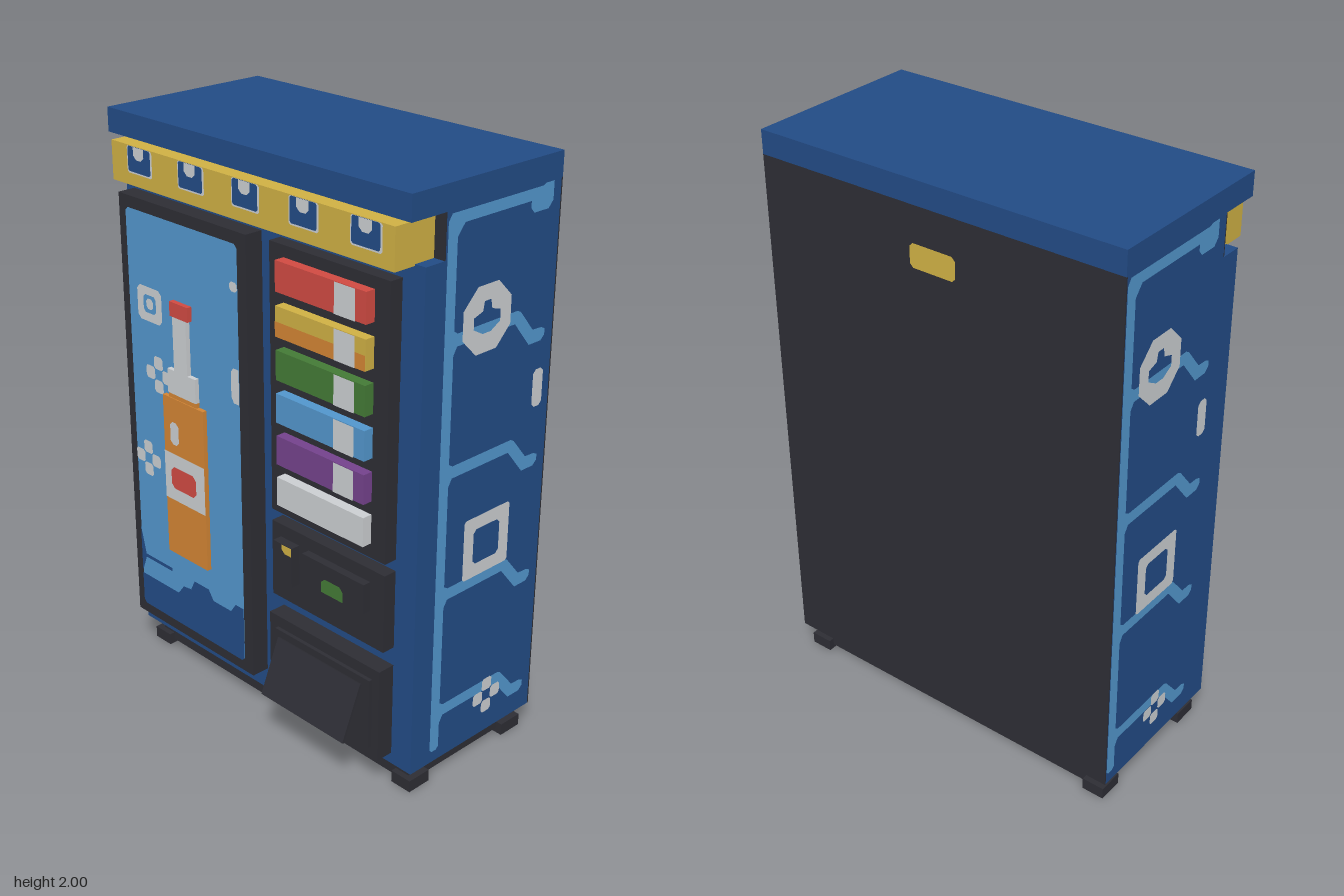
import * as THREE from 'three';

const mat = (name, color) => {
  const m = new THREE.MeshStandardMaterial({ color });
  m.name = name;
  return m;
};

export function createModel() {
  const blue = mat('cabinet blue', 0x224b85), sky = mat('light blue', 0x5296cc);
  const gold = mat('gold', 0xcfb044), white = mat('off white', 0xcbced1);
  const red = mat('red', 0xd04a42), orange = mat('orange', 0xd28434);
  const green = mat('green', 0x447a36), purple = mat('purple', 0x74428c);
  const dark = mat('charcoal', 0x2d2d34);

  const model = new THREE.Group();
  model.name = 'vendingMachine';

  // Box given by its limits on each axis
  const box = (name, m, x0, x1, y0, y1, z0, z1, parent = model) => {
    const mesh = new THREE.Mesh(new THREE.BoxGeometry(x1 - x0, y1 - y0, z1 - z0), m);
    mesh.position.set((x0 + x1) / 2, (y0 + y1) / 2, (z0 + z1) / 2);
    mesh.name = name;
    parent.add(mesh);
    return mesh;
  };
  const pts = (list) => list.map(([x, y]) => new THREE.Vector2(x, y));
  // Flat painted shape facing +z, with optional holes
  const decal = (name, m, z, outline, holes = [], parent = model) => {
    const shape = new THREE.Shape(pts(outline));
    holes.forEach((h) => shape.holes.push(new THREE.Path(pts(h))));
    const mesh = new THREE.Mesh(new THREE.ShapeGeometry(shape), m);
    mesh.position.z = z;
    mesh.name = name;
    parent.add(mesh);
    return mesh;
  };
  // Rectangle outline with corners cut by c
  const rect = (x0, x1, y0, y1, c = 0) => c
    ? [[x0 + c, y0], [x1 - c, y0], [x1, y0 + c], [x1, y1 - c], [x1 - c, y1], [x0 + c, y1], [x0, y1 - c], [x0, y0 + c]]
    : [[x0, y0], [x1, y0], [x1, y1], [x0, y1]];
  // Four petals around an open middle
  const flower = (m, x, y, z, parent = model) => {
    for (const [dx, dy] of [[1, 0], [-1, 0], [0, 1], [0, -1]]) {
      const cx = x + dx * 0.042, cy = y + dy * 0.042;
      decal('flowerPetal', m, z, rect(cx - 0.023, cx + 0.023, cy - 0.023, cy + 0.023, 0.008), [], parent);
    }
  };

  // Cabinet, front section and roof
  box('cabinet', blue, -0.665, 0.665, 0.09, 1.92, -0.365, 0.13);
  box('cabinetFront', blue, -0.665, 0.665, 0.09, 1.78, 0.13, 0.21);
  box('roof', blue, -0.665, 0.665, 1.92, 2, -0.37, 0.272);
  box('backPanel', dark, -0.665, 0.665, 0.09, 1.92, -0.37, -0.365);
  box('signRecess', dark, -0.665, 0.665, 1.78, 1.92, 0.13, 0.134);
  const badge = decal('backBadge', gold, -0.373, rect(-0.085, 0.085, 1.72, 1.8, 0.012));
  badge.rotation.y = Math.PI;

  // Plinth and feet
  box('plinth', dark, -0.62, 0.62, 0.015, 0.09, -0.33, 0.17);
  for (const x of [-0.605, 0.605]) {
    for (const z of [-0.305, 0.145]) box('foot', dark, x - 0.04, x + 0.04, 0, 0.042, z - 0.045, z + 0.045);
  }

  // Gold sign with five emblems
  box('sign', gold, -0.625, 0.625, 1.775, 1.905, 0.134, 0.292);
  for (let i = 0; i < 5; i++) {
    const x = -0.482 + i * 0.25;
    decal('emblemBorder', white, 0.294, rect(x - 0.062, x + 0.062, 1.816, 1.904, 0.006));
    decal('emblem', blue, 0.296, rect(x - 0.056, x + 0.056, 1.822, 1.904, 0.006));
    decal('emblemMark', white, 0.298, [[x - 0.026, 1.904], [x - 0.026, 1.877], [x - 0.012, 1.864],
      [x + 0.012, 1.864], [x + 0.026, 1.877], [x + 0.026, 1.904]]);
  }

  // Display door with poster
  box('displayDoor', dark, -0.625, -0.005, 0.17, 1.73, 0.21, 0.275);
  decal('poster', sky, 0.277, rect(-0.59, -0.045, 0.21, 1.69, 0.012));
  decal('posterWave', blue, 0.279, [[-0.578, 0.21], [-0.057, 0.21], [-0.045, 0.222], [-0.045, 0.415], [-0.085, 0.415],
    [-0.11, 0.38], [-0.2, 0.38], [-0.225, 0.415], [-0.3, 0.415], [-0.32, 0.375], [-0.36, 0.37], [-0.39, 0.332],
    [-0.59, 0.332], [-0.59, 0.222]]);
  decal('posterSplash', blue, 0.279, [[-0.59, 0.34], [-0.565, 0.405], [-0.42, 0.405], [-0.42, 0.418],
    [-0.565, 0.418], [-0.59, 0.52]]);
  decal('posterRing', white, 0.279, rect(-0.545, -0.42, 1.32, 1.44, 0.015), [rect(-0.514, -0.45, 1.35, 1.412, 0.01)]);
  decal('posterDot', white, 0.279, rect(-0.5, -0.464, 1.363, 1.4, 0.01));
  flower(white, -0.45, 1.14, 0.279);
  flower(white, -0.525, 0.81, 0.279);
  decal('posterFleck', white, 0.279, rect(-0.08, -0.045, 1.535, 1.567, 0.008));
  decal('posterFleck', white, 0.279, [[-0.045, 1.16], [-0.045, 1.28], [-0.07, 1.28], [-0.082, 1.265],
    [-0.082, 1.18], [-0.07, 1.16]]);

  // Raised bottle
  const bottle = new THREE.Group();
  bottle.name = 'bottle';
  model.add(bottle);
  box('bottleBody', orange, -0.415, -0.21, 0.5, 1.088, 0.275, 0.293, bottle);
  box('bottleShoulder', white, -0.385, -0.245, 1.105, 1.19, 0.275, 0.293, bottle);
  box('bottleCollar', orange, -0.385, -0.245, 1.088, 1.105, 0.275, 0.29, bottle);
  box('bottleNeck', white, -0.35, -0.283, 1.19, 1.38, 0.275, 0.293, bottle);
  box('bottleCap', red, -0.36, -0.27, 1.38, 1.43, 0.275, 0.295, bottle);
  decal('bottleLabel', white, 0.295, rect(-0.415, -0.21, 0.71, 0.885), [], bottle);
  decal('labelSpot', red, 0.297, rect(-0.38, -0.252, 0.757, 0.837, 0.015), [], bottle);
  decal('bottleShine', white, 0.295, rect(-0.38, -0.337, 0.92, 1.002, 0.012), [], bottle);

  // Selection buttons
  box('buttonPanel', dark, 0.08, 0.58, 0.835, 1.73, 0.21, 0.257);
  [red, gold, green, sky, purple, white].forEach((m, i) => {
    const y = 1.643 - i * 0.142;
    box('selectionButton', m, 0.142, 0.52, y - 0.049, y + 0.049, 0.25, 0.292);
    if (m === gold) decal('buttonLowerHalf', orange, 0.294, rect(0.142, 0.52, y - 0.049, y));
    if (m !== white) decal('buttonTag', white, 0.296, rect(0.395, 0.48, y - 0.049, y + 0.049));
  });

  // Payment panel
  box('paymentPanel', dark, 0.08, 0.58, 0.525, 0.795, 0.21, 0.257);
  box('coinSlot', dark, 0.12, 0.205, 0.61, 0.75, 0.25, 0.29);
  decal('coin', gold, 0.292, [[0.16, 0.75], [0.16, 0.733], [0.175, 0.72], [0.205, 0.72], [0.205, 0.75]]);
  box('noteReader', dark, 0.248, 0.52, 0.65, 0.75, 0.25, 0.285);
  decal('bankNote', green, 0.287, [[0.335, 0.65], [0.432, 0.65], [0.432, 0.685], [0.417, 0.7], [0.352, 0.7], [0.335, 0.685]]);

  // Collection tray with open flap
  box('trayPanel', dark, 0.08, 0.58, 0.13, 0.46, 0.21, 0.272);
  box('trayFrame', dark, 0.12, 0.55, 0.17, 0.42, 0.265, 0.285);
  const flap = box('trayFlap', dark, 0.142, 0.52, 0.205, 0.405, 0.325, 0.333);
  flap.rotation.x = -Math.atan2(0.078, 0.19);

  // Painted side artwork, u running from the stripe edge
  const artwork = (name) => {
    const g = new THREE.Group();
    g.name = name;
    const add = (n, m, z, o, h) => decal(n, m, z, o, h, g);
    add('sideStripe', sky, 0.002, [[0.005, 0.14], [0.015, 0.13], [0.035, 0.13], [0.045, 0.14], [0.045, 1.84],
      [0.075, 1.876], [0.36, 1.876], [0.36, 1.855], [0.375, 1.838], [0.44, 1.838], [0.46, 1.86], [0.46, 1.918],
      [0.425, 1.918], [0.41, 1.912], [0.02, 1.912], [0.005, 1.89]]);
    for (const y of [1.53, 1.11, 0.695, 0.272]) {
      add('sideBranch', sky, 0.002, [[0.045, y - 0.045], [0.06, y - 0.02], [0.315, y - 0.02], [0.385, y - 0.105],
        [0.44, y - 0.105], [0.457, y - 0.09], [0.457, y - 0.07], [0.44, y - 0.062], [0.4, y - 0.06],
        [0.34, y + 0.012], [0.325, y + 0.02], [0.06, y + 0.02], [0.045, y + 0.03]]);
    }
    const cross = [[-0.058, -0.018], [-0.018, -0.04], [0.018, -0.04], [0.058, -0.018], [0.058, 0.018],
      [0.02, 0.03], [0.014, 0.06], [-0.014, 0.06], [-0.02, 0.03], [-0.058, 0.018]];
    add('sideOctagonRing', white, 0.004, rect(0.08, 0.29, 1.46, 1.67, 0.06), [cross.map(([x, y]) => [x + 0.185, y + 1.56])]);
    add('sideDash', white, 0.004, rect(0.413, 0.46, 1.21, 1.335, 0.012));
    add('sideSquareRing', white, 0.004, rect(0.125, 0.335, 0.71, 0.92, 0.008), [rect(0.17, 0.29, 0.755, 0.875, 0.012)]);
    flower(white, 0.27, 0.232, 0.004, g);
    model.add(g);
    return g;
  };
  const leftArt = artwork('leftSideArtwork');
  leftArt.position.set(0.665, 0, 0.13);
  leftArt.rotation.y = Math.PI / 2;
  const rightArt = artwork('rightSideArtwork');
  rightArt.position.set(-0.665, 0, -0.37);
  rightArt.rotation.y = -Math.PI / 2;

  return model;
}
